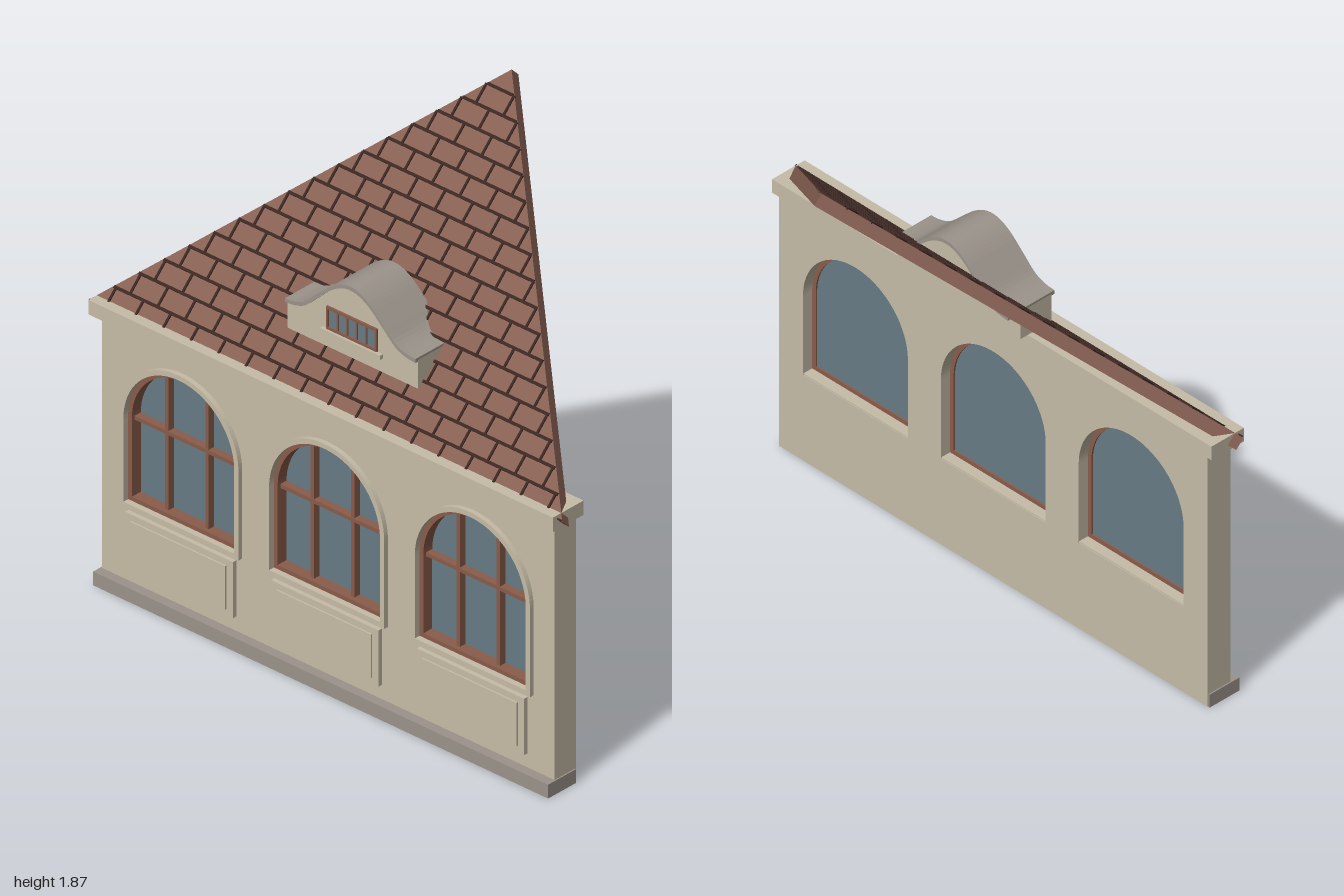
import * as THREE from 'three';
import { mergeGeometries } from 'three/addons/utils/BufferGeometryUtils.js';

const mat = (name, color) => {
  const m = new THREE.MeshStandardMaterial({ color });
  m.name = name;
  return m;
};

export function createModel() {
  const plaster = mat('beige plaster', 0xc6bda7);
  const stone = mat('grey stone', 0x9c948b);
  const tile = mat('roof tile brown', 0x855f52);
  const joint = mat('dark tile joint', 0x3a2722);
  const wood = mat('window wood', 0x8a5c4b);
  const glass = mat('window glass', 0x687b85);

  const model = new THREE.Group();
  model.name = 'facadeWithRoof';

  const add = (parent, name, geometry, material) => {
    const m = new THREE.Mesh(geometry, material);
    m.name = name;
    parent.add(m);
    return m;
  };
  // Box given by its limits on each axis
  const box = (x0, x1, y0, y1, z0, z1) =>
    new THREE.BoxGeometry(x1 - x0, y1 - y0, z1 - z0)
      .translate((x0 + x1) / 2, (y0 + y1) / 2, (z0 + z1) / 2);
  // Shape extruded between two depths
  const slab = (shape, z0, z1) =>
    new THREE.ExtrudeGeometry(shape, { depth: z1 - z0, bevelEnabled: false, curveSegments: 28 })
      .translate(0, 0, z0);
  // Round-headed outline
  const SPRING = 0.64;
  const arch = (Type, cx, r, y0) => {
    const s = new Type();
    s.moveTo(cx - r, y0);
    s.lineTo(cx + r, y0);
    s.lineTo(cx + r, SPRING);
    s.absarc(cx, SPRING, r, 0, Math.PI, false);
    s.lineTo(cx - r, y0);
    return s;
  };
  const archRing = (rOut, yOut, rIn, yIn) => {
    const s = arch(THREE.Shape, 0, rOut, yOut);
    s.holes.push(arch(THREE.Path, 0, rIn, yIn));
    return s;
  };

  // Wall with three arched openings
  const windowXs = [-0.615, 0, 0.615];
  const wall = new THREE.Shape();
  wall.moveTo(-0.955, 0.004);
  wall.lineTo(0.955, 0.004);
  wall.lineTo(0.955, 1.0);
  wall.lineTo(-0.955, 1.0);
  wall.closePath();
  windowXs.forEach(x => wall.holes.push(arch(THREE.Path, x, 0.234, 0.335)));
  add(model, 'wall', slab(wall, 0.32, 0.42), plaster);
  add(model, 'plinth', box(-0.96, 0.96, 0, 0.05, 0.325, 0.455), stone);
  add(model, 'cornice', box(-0.98, 0.98, 0.975, 1.027, 0.313, 0.455), plaster);

  // Windows with surrounds, bars and the panel below
  windowXs.forEach((x, i) => {
    const w = new THREE.Group();
    w.name = ['rightWindow', 'middleWindow', 'leftWindow'][i];
    w.position.x = x;
    model.add(w);
    add(w, 'surround', slab(archRing(0.252, 0.322, 0.234, 0.338), 0.415, 0.437), plaster);
    add(w, 'sill', box(-0.234, 0.234, 0.325, 0.34, 0.322, 0.437), plaster);
    add(w, 'frame', slab(archRing(0.235, 0.339, 0.218, 0.355), 0.36, 0.415), wood);
    add(w, 'pane', slab(arch(THREE.Shape, 0, 0.226, 0.345), 0.366, 0.374), glass);
    const top = SPRING + Math.sqrt(0.225 ** 2 - 0.085 ** 2);
    const bars = [-0.085, 0.085].map(bx => box(bx - 0.007, bx + 0.007, 0.345, top, 0.37, 0.4));
    bars.push(box(-0.225, 0.225, 0.629, 0.643, 0.37, 0.402));
    add(w, 'glazingBars', mergeGeometries(bars), wood);
    add(w, 'panel', box(-0.227, 0.227, 0.102, 0.306, 0.415, 0.436), plaster);
    add(w, 'panelField', box(-0.2, 0.2, 0.125, 0.283, 0.43, 0.442), plaster);
  });

  // Roof built flat, then leaned back by 45 degrees
  const roof = new THREE.Group();
  roof.name = 'roof';
  roof.position.set(0, 1.01, 0.433);
  roof.rotation.x = -Math.PI / 4;
  model.add(roof);
  const L = 1.216;
  const tri = new THREE.Shape();
  tri.moveTo(-1, 0);
  tri.lineTo(1, 0);
  tri.lineTo(0, L);
  tri.closePath();
  add(roof, 'roofSlab', slab(tri, -0.044, 0), tile);

  // Staggered tile joints
  const rows = 17, step = L / rows, tileW = 0.116, lines = [];
  for (let r = 0; r < rows; r++) {
    const s = r * step;
    const half = 1 - (s + 0.006) / L;
    lines.push(box(-half, half, Math.max(0, s - 0.005), s + 0.005, -0.004, 0.005));
    const reach = 1 - (s + step) / L;
    const shift = (r % 2) * 0.5;
    for (let k = -9; k <= 9; k++) {
      const x = (k + shift) * tileW;
      if (Math.abs(x) < reach) lines.push(box(x - 0.004, x + 0.004, s, s + step, -0.004, 0.004));
    }
  }
  add(roof, 'tileJoints', mergeGeometries(lines), joint);

  // Dormer with a curved gable
  const dormer = new THREE.Group();
  dormer.name = 'dormer';
  model.add(dormer);
  const half = [[0.275, 1.258], [0.235, 1.262], [0.19, 1.28], [0.14, 1.325], [0.085, 1.375], [0.04, 1.402]];
  const profile = [
    ...half.map(([x, y]) => new THREE.Vector2(-x, y)),
    new THREE.Vector2(0, 1.41),
    ...half.slice().reverse().map(([x, y]) => new THREE.Vector2(x, y)),
  ];
  const curve = new THREE.SplineCurve(profile).getPoints(48);
  const lowered = d => curve.map(p => new THREE.Vector2(p.x, p.y - d));
  const gable = new THREE.Shape([
    new THREE.Vector2(-0.275, 1.145), new THREE.Vector2(0.275, 1.145), ...lowered(0.008).reverse(),
  ]);
  add(dormer, 'dormerBody', slab(gable, 0.17, 0.306), plaster);
  const cap = new THREE.Shape([...lowered(0.014), ...curve.slice().reverse()]);
  add(dormer, 'dormerRoof', slab(cap, 0.115, 0.318), stone);
  add(dormer, 'dormerPane', box(-0.1, 0.1, 1.22, 1.288, 0.303, 0.308), glass);
  const bars = [
    box(-0.107, 0.107, 1.213, 1.222, 0.302, 0.314),
    box(-0.107, 0.107, 1.286, 1.295, 0.302, 0.314),
  ];
  for (const x of [-0.103, 0.103]) bars.push(box(x - 0.004, x + 0.004, 1.22, 1.288, 0.302, 0.314));
  for (const x of [-0.06, -0.02, 0.02, 0.06]) bars.push(box(x - 0.003, x + 0.003, 1.22, 1.288, 0.302, 0.312));
  add(dormer, 'dormerFrame', mergeGeometries(bars), wood);
  add(dormer, 'dormerSill', box(-0.127, 0.127, 1.196, 1.211, 0.302, 0.32), plaster);

  return model;
}
